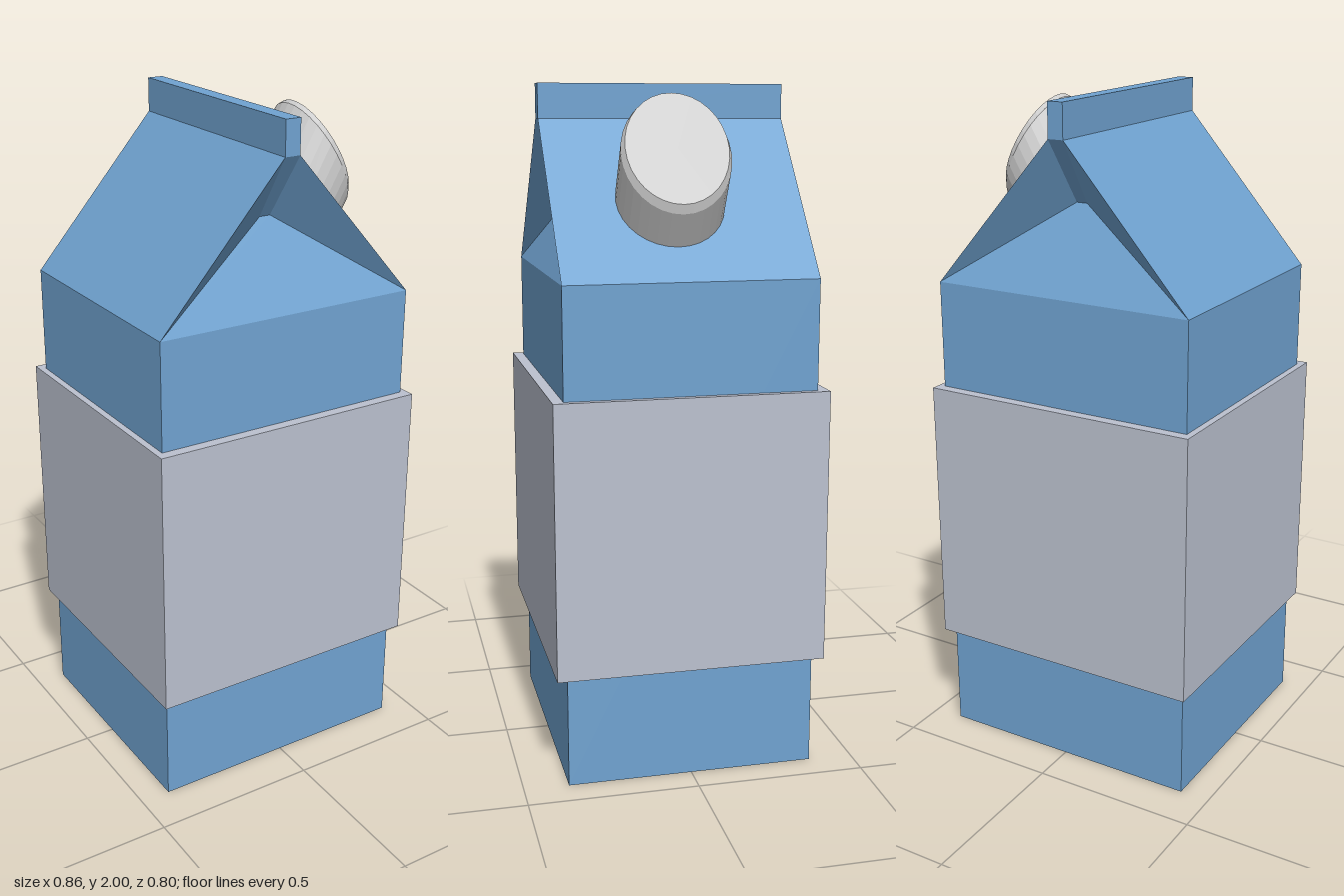
import * as THREE from 'three';

const W = 0.41, D = 0.368;         // carton half width and half depth
const EAVE = 1.46, RIDGE = 1.9;    // heights where the gable starts and ends
const FIN = 0.024;                 // half thickness of the sealed top

function material(color, flat = true) {
  return new THREE.MeshStandardMaterial({ color, flatShading: flat });
}

function box(name, w, y0, y1, d, mat) {
  const mesh = new THREE.Mesh(new THREE.BoxGeometry(w, y1 - y0, d), mat);
  mesh.position.y = (y0 + y1) / 2;
  mesh.name = name;
  return mesh;
}

// Walls and folded gable: one front and one side, repeated by a half turn
function cartonGeometry() {
  const baseL = [-W, 0, D], baseR = [W, 0, D], baseBack = [W, 0, -D];
  const eaveL = [-W, EAVE, D], eaveR = [W, EAVE, D], eaveBack = [W, EAVE, -D];
  const ridgeL = [-FIN, RIDGE, D], ridgeR = [FIN, RIDGE, D], ridgeBack = [FIN, RIDGE, -D];
  const foldL = [-0.017, 1.71, D - 0.13], foldR = [0.017, 1.71, D - 0.13];
  const faces = [
    [baseL, baseR, eaveR, eaveL],          // front wall
    [eaveL, eaveR, foldR, foldL],          // tucked-in panel
    [eaveL, foldL, ridgeL],                // fold wings
    [foldR, eaveR, ridgeR],
    [foldL, foldR, ridgeR, ridgeL],        // strip between the wings
    [baseR, baseBack, eaveBack, eaveR],    // side wall
    [eaveR, eaveBack, ridgeBack, ridgeR],  // roof slope
    [baseL, [0, 0, -D], [0, 0, D]],        // floor half
    [baseL, [-W, 0, -D], [0, 0, -D]],
  ];
  const positions = [];
  for (const s of [1, -1]) {
    for (const f of faces) {
      for (let i = 1; i < f.length - 1; i++) {
        for (const [x, y, z] of [f[0], f[i], f[i + 1]]) positions.push(s * x, y, s * z);
      }
    }
  }
  const geometry = new THREE.BufferGeometry();
  geometry.setAttribute('position', new THREE.Float32BufferAttribute(positions, 3));
  geometry.computeVertexNormals();
  return geometry;
}

// Screw cap: a bevelled lathe, sheared so its discs lean away from its axis
function capGeometry() {
  const profile = [
    [0, -0.25], [0.13, -0.25], [0.13, -0.194], [0.148, -0.194],
    [0.158, -0.174], [0.158, -0.02], [0.148, 0], [0, 0],
  ].map(([r, h]) => new THREE.Vector2(r, h));
  const geometry = new THREE.LatheGeometry(profile, 32);
  const shear = new THREE.Matrix4().makeBasis(
    new THREE.Vector3(0.524, -1.01, 0),
    new THREE.Vector3(0.5, 0.866, 0),
    new THREE.Vector3(0, 0, 1),
  );
  shear.setPosition(0.3125, 1.82, 0.023);
  return geometry.applyMatrix4(shear);
}

export function createModel() {
  const group = new THREE.Group();
  group.name = 'milkCarton';
  const blue = material(0x70a3d1);

  const carton = new THREE.Mesh(cartonGeometry(), blue);
  carton.name = 'carton';
  group.add(carton);

  group.add(box('topSeal', FIN * 2, RIDGE, 2, D * 2, blue));
  group.add(box('labelSleeve', 0.86, 0.33, 1.14, 0.8, material(0xbbc1cf)));

  const cap = new THREE.Mesh(capGeometry(), material(0xcccccc));
  cap.name = 'cap';
  group.add(cap);

  return group;
}
